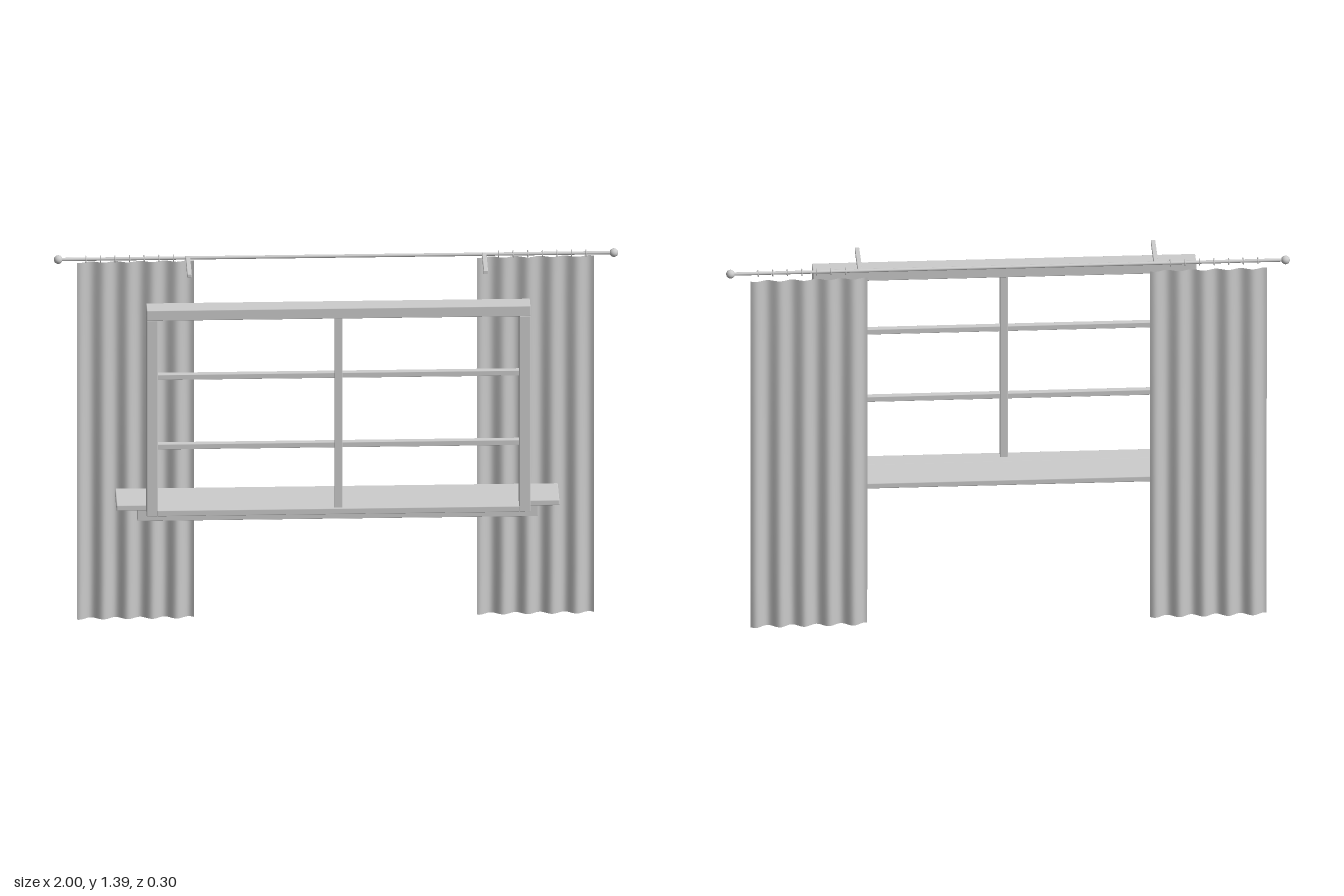
import * as THREE from 'three';
import { RoundedBoxGeometry } from 'three/addons/geometries/RoundedBoxGeometry.js';

export function createModel() {
  const model = new THREE.Group();
  model.name = 'curtainedWindow';

  const paint = new THREE.MeshStandardMaterial({ color: 0xcccccc, side: THREE.DoubleSide });
  paint.name = 'paleGrey';

  const add = (name, geometry, x = 0, y = 0, z = 0) => {
    const mesh = new THREE.Mesh(geometry, paint);
    mesh.name = name;
    mesh.position.set(x, y, z);
    model.add(mesh);
    return mesh;
  };

  // Softly bevelled box given by its limits on each axis
  const bar = (name, [x0, x1], [y0, y1], [z0, z1], bevel = 0.003) =>
    add(name, new RoundedBoxGeometry(x1 - x0, y1 - y0, z1 - z0, 1, bevel),
      (x0 + x1) / 2, (y0 + y1) / 2, (z0 + z1) / 2);

  // Window frame
  const depth = [0.081, 0.155];
  bar('frameTop', [-0.68, 0.68], [1.24, 1.28], depth);
  bar('frameBottom', [-0.642, 0.642], [0.497, 0.52], depth);
  bar('leftJamb', [0.64, 0.68], [0.497, 1.242], depth);
  bar('rightJamb', [-0.68, -0.64], [0.497, 1.242], depth);

  // Glazing bars
  bar('verticalGlazingBar', [-0.014, 0.014], [0.518, 1.242], [0.118, 0.146], 0.002);
  for (const y of [0.757, 1.021]) {
    bar('horizontalGlazingBar', [-0.642, 0.642], [y - 0.01, y + 0.01], [0.12, 0.144], 0.002);
  }

  // Sill board and the apron below it
  bar('sill', [-0.785, 0.785], [0.497, 0.519], [-0.07, 0.096], 0.004);
  bar('apron', [-0.71, 0.71], [0.445, 0.498], [0.049, 0.064], 0.002);

  // Curtain rod with ball ends
  const rodY = 1.374, rodZ = -0.114;
  add('curtainRod', new THREE.CylinderGeometry(0.006, 0.006, 1.96, 16), 0, rodY, rodZ)
    .rotation.z = Math.PI / 2;

  for (const side of [-1, 1]) {
    add('finial', new THREE.SphereGeometry(0.0155, 20, 14), side * 0.9845, rodY, rodZ);
    bar('bracket', [side * 0.525 - 0.008, side * 0.525 + 0.008],
      [rodY - 0.007, rodY + 0.007], [rodZ, 0.065], 0.002);

    // Curtain rings
    for (let i = 0; i < 7; i++) {
      add('curtainRing', new THREE.TorusGeometry(0.011, 0.002, 6, 16),
        side * (0.576 + i * 0.0517), rodY, rodZ).rotation.y = Math.PI / 2;
    }
  }

  // Pleated curtains, the folds deepening towards the hem
  const width = 0.415, height = 1.354;
  for (const [name, startX] of [['rightCurtain', -0.917], ['leftCurtain', 0.5]]) {
    const cloth = new THREE.PlaneGeometry(width, height, 60, 8);
    const p = cloth.attributes.position;
    for (let i = 0; i < p.count; i++) {
      const across = p.getX(i) + width / 2;
      const up = p.getY(i) + height / 2;
      const fold = THREE.MathUtils.lerp(0.0115, 0.007, up / height);
      const z = -0.136 - fold * Math.cos((across - 0.05) * Math.PI * 2 / 0.0868);
      p.setXYZ(i, startX + across, up, z);
    }
    cloth.computeVertexNormals();
    add(name, cloth);
  }

  return model;
}
